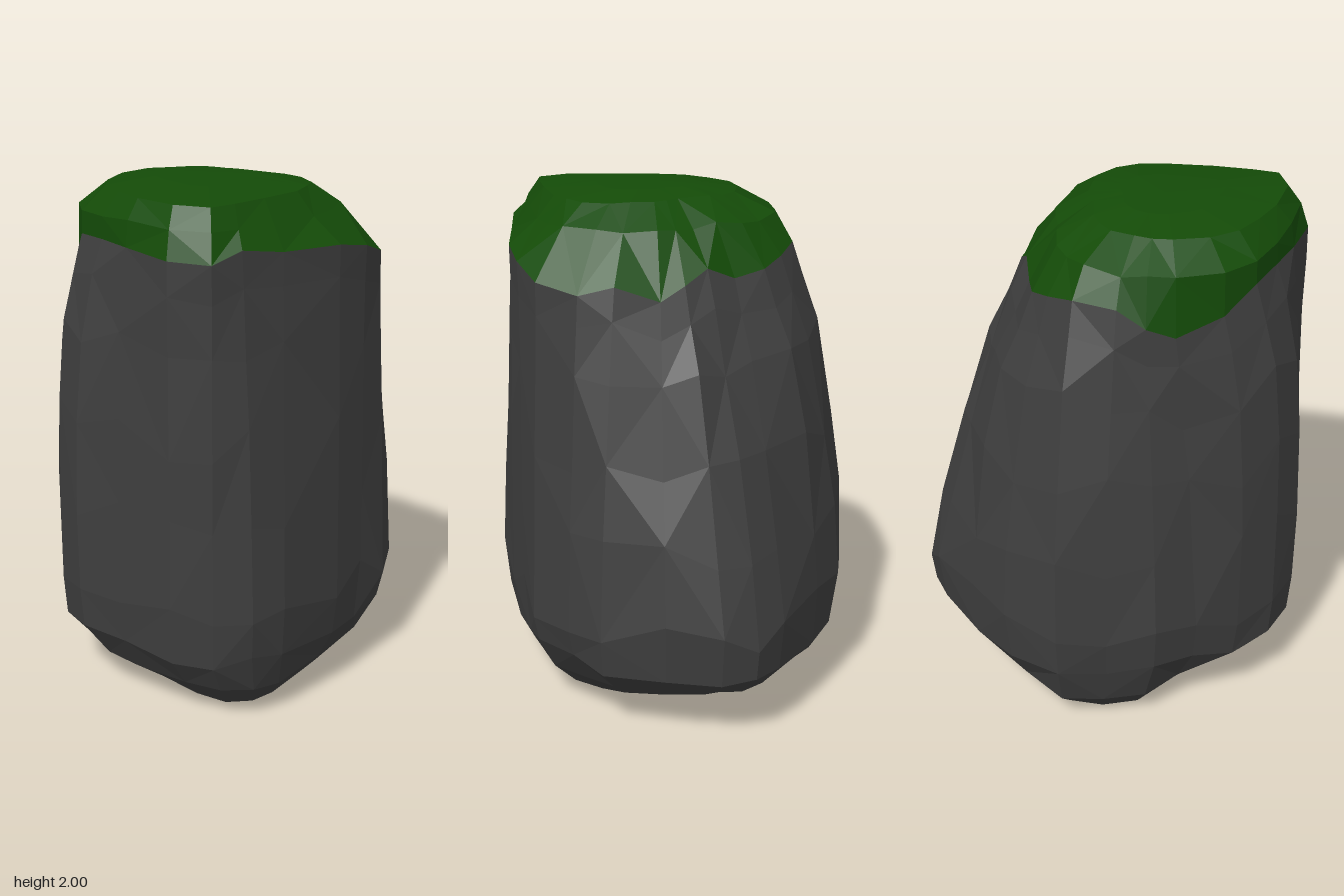
import * as THREE from 'three';

// Boulder outline columns: [lower x, lower z, upper x, upper z, height of moss edge]
const COLUMNS = [
  [-0.715, 0.17, -0.575, 0.15, 1.8], [-0.725, 0.0, -0.59, -0.02, 1.79],
  [-0.665, -0.17, -0.55, -0.17, 1.71],
  [-0.57, -0.33, -0.45, -0.33, 1.66], [-0.485, -0.485, -0.37, -0.4, 1.7],
  [-0.33, -0.6, -0.28, -0.45, 1.77], [-0.18, -0.72, -0.12, -0.49, 1.78],
  [0.06, -0.725, 0.01, -0.46, 1.75], [0.27, -0.665, 0.12, -0.41, 1.72],
  [0.54, -0.565, 0.21, -0.31, 1.7], [0.655, -0.485, 0.29, -0.22, 1.75],
  [0.715, -0.36, 0.37, -0.15, 1.7], [0.725, -0.14, 0.43, -0.07, 1.65],
  [0.695, 0.11, 0.48, 0.09, 1.71], [0.62, 0.25, 0.51, 0.22, 1.68],
  [0.49, 0.42, 0.45, 0.39, 1.71], [0.34, 0.5, 0.33, 0.49, 1.76],
  [0.19, 0.58, 0.18, 0.56, 1.79], [-0.1, 0.7, -0.08, 0.62, 1.8],
  [-0.24, 0.72, -0.26, 0.66, 1.83], [-0.38, 0.67, -0.38, 0.67, 1.79],
  [-0.5, 0.55, -0.49, 0.54, 1.79], [-0.61, 0.33, -0.55, 0.32, 1.8],
];

let seed = 7;
const rand = () => (seed = (seed * 16807) % 2147483647) / 2147483647;

// Small inward and vertical unevenness
function rough(v, inward, lift) {
  const s = 1 - inward * rand();
  return v.set(v.x * s, v.y + lift * (rand() - 0.5), v.z * s);
}

// Skin a stack of rings (bottom to top) with triangles, leaving out empty ones
function skin(rings) {
  const pos = [];
  const tri = new THREE.Triangle();
  const add = (a, b, c) => {
    if (tri.set(a, b, c).getArea() > 1e-6) for (const p of [a, b, c]) pos.push(p.x, p.y, p.z);
  };
  for (let r = 0; r < rings.length - 1; r++) {
    const n = rings[r].length;
    for (let i = 0; i < n; i++) {
      const j = (i + 1) % n;
      const a = rings[r][i], b = rings[r][j], c = rings[r + 1][i], d = rings[r + 1][j];
      if ((i + r) % 2) { add(b, a, c); add(b, c, d); }
      else { add(a, c, d); add(a, d, b); }
    }
  }
  const g = new THREE.BufferGeometry();
  g.setAttribute('position', new THREE.Float32BufferAttribute(pos, 3));
  g.computeVertexNormals();
  return g;
}

function part(name, rings, color) {
  const mesh = new THREE.Mesh(skin(rings), new THREE.MeshStandardMaterial({ color, flatShading: true }));
  mesh.name = name;
  return mesh;
}

// How strongly a wall column stays full before leaning in: right side most, back a little
function fullness(x, z) {
  if (x < -0.5 && z > -0.25) return 3;
  return z < -0.58 && x < 0.4 ? 1.5 : 1;
}

export function createModel() {
  const group = new THREE.Group();
  group.name = 'mossyBoulder';
  const rock = [];

  // Underside and rounded foot: [height, scale, sideways squeeze, tilt].
  // Tilt undercuts the back left corner and draws one point at the back right down and out.
  for (const [y, s, sx, tilt] of [[0.025, 0, 1, 0], [0.025, 0.42, 1, 0.3], [0.035, 0.73, 0.87, 1], [0.13, 0.87, 0.93, 0.6], [0.27, 0.975, 1, 0]]) {
    rock.push(COLUMNS.map(([x, z]) => {
      const undercut = tilt * (x - z);
      const point = tilt * Math.max(0, (-0.48 * x - 0.88 * z) / Math.hypot(x, z)) ** 8;
      const k = s - 0.05 * undercut + 0.09 * point;
      const h = y + 0.04 * Math.max(0, undercut) + 0.1 * tilt * Math.max(0, -x - 0.45) - 0.04 * point;
      const p = new THREE.Vector3(x * k * sx, Math.max(0, h), z * k);
      return s ? rough(p, 0.02, y * 0.2) : p;
    }));
  }

  // Walls, leaning from the lower outline to the upper one
  for (const [u, t] of [[0, 0], [0.25, 0.17], [0.5, 0.4], [0.75, 0.66], [0.9, 0.86], [1, 1]]) {
    rock.push(COLUMNS.map(([x, z, tx, tz, edge]) => {
      const lean = t ** fullness(x, z);
      const p = new THREE.Vector3(x + (tx - x) * lean, 0.45 + (edge - 0.45) * u, z + (tz - z) * lean);
      return u < 1 ? rough(p, 0.014, u > 0.8 ? 0.03 : 0.12) : p;
    }));
  }

  // Moss cap, starting from the top ring of the rock and closing over the crown
  const moss = [rock[rock.length - 1]];
  const cx = -0.13, cz = 0.08;
  for (const [y, s, skew, forward] of [[1.885, 0.88, 0.13, 0], [1.967, 0.69, 0.15, 0.09], [1.992, 0.36, 0.06, 0.03], [2, 0, 0, 0]]) {
    moss.push(COLUMNS.map(([, , tx, tz]) => {
      const dx = tx - cx, dz = tz - cz;
      const k = s + (forward * dz - skew * dx) / Math.hypot(dx, dz);
      const p = new THREE.Vector3(cx + dx * k, y, cz + dz * k);
      return s ? rough(p, 0.02, (2 - y) * 0.2) : p;
    }));
  }

  group.add(part('rock', rock, 0x3e3e3e), part('mossCap', moss, 0x144b08));
  return group;
}
